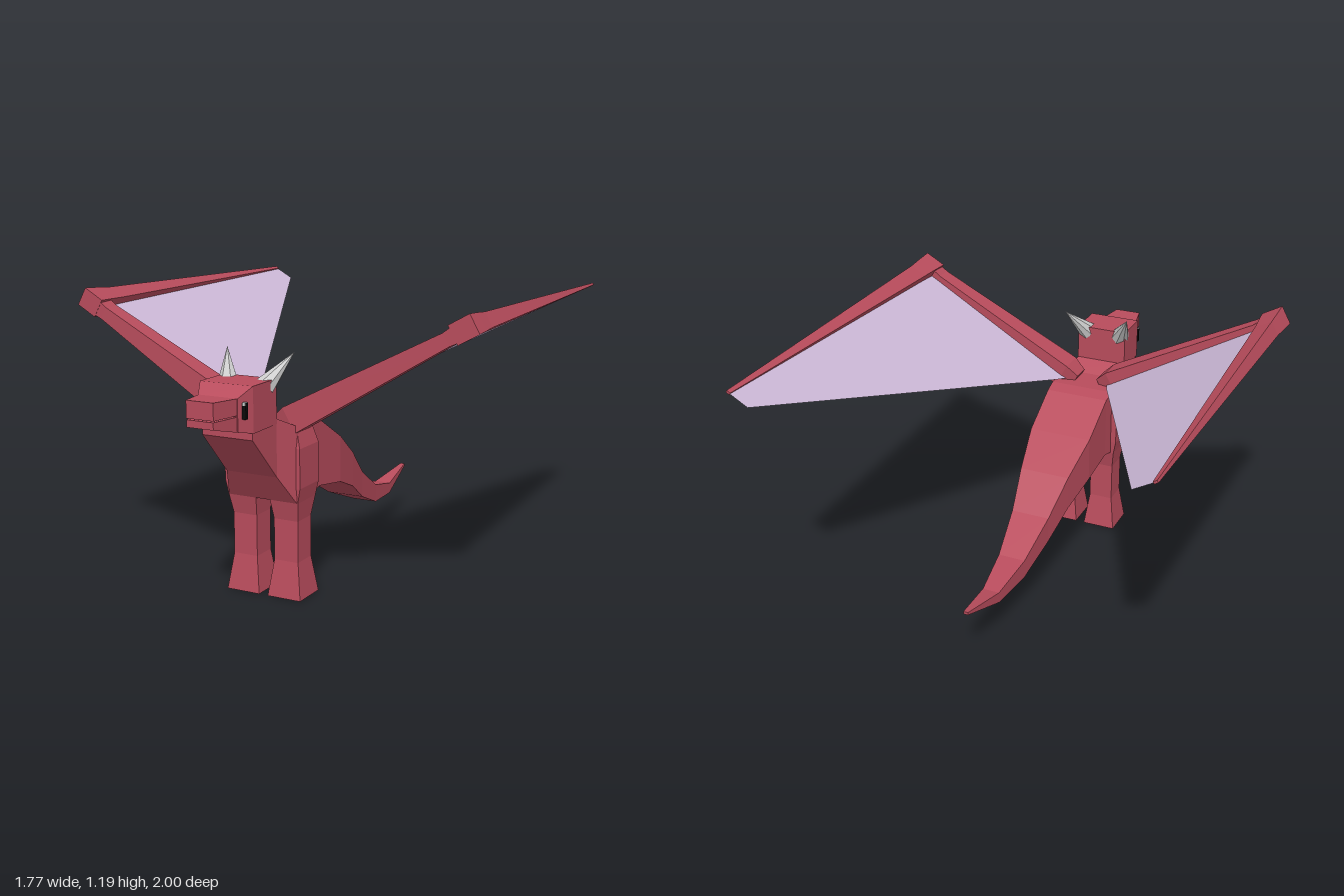
import * as THREE from 'three';

const mat = (color, extra = {}) => new THREE.MeshStandardMaterial({ color, ...extra });

// Loft of rectangular sections [t, a0, a1, b0, b1]; t runs along the axis,
// a and b along the next two axes in cyclic order.
function loft(axis, sections) {
  const order = { x: [0, 1, 2], y: [1, 2, 0], z: [2, 0, 1] }[axis];
  const rings = sections.map(([t, a0, a1, b0, b1]) =>
    [[a0, b0], [a1, b0], [a1, b1], [a0, b1]].map(([a, b]) => {
      const p = [0, 0, 0];
      [t, a, b].forEach((v, i) => { p[order[i]] = v; });
      return p;
    }));
  const pos = [];
  const quad = (a, b, c, d) => pos.push(...a, ...b, ...c, ...a, ...c, ...d);
  for (let k = 0; k < rings.length - 1; k++) {
    for (let i = 0; i < 4; i++) {
      const j = (i + 1) % 4;
      quad(rings[k][i], rings[k][j], rings[k + 1][j], rings[k + 1][i]);
    }
  }
  const first = rings[0], last = rings[rings.length - 1];
  quad(first[3], first[2], first[1], first[0]);
  quad(last[0], last[1], last[2], last[3]);
  return finish(pos);
}

function finish(pos) {
  const geo = new THREE.BufferGeometry();
  geo.setAttribute('position', new THREE.Float32BufferAttribute(pos, 3));
  geo.computeVertexNormals();
  return geo;
}

// Copy a part to the other side of x = 0, keeping its faces outward.
function mirrored(geo) {
  const p = (geo.index ? geo.toNonIndexed() : geo).attributes.position;
  const pos = [];
  for (let i = 0; i < p.count; i += 3) {
    for (const k of [i, i + 2, i + 1]) pos.push(-p.getX(k), p.getY(k), p.getZ(k));
  }
  return finish(pos);
}

// Sections along z that are symmetric in x: [z, halfWidth, bottom, top]
const symmetric = rows => loft('z', rows.map(([z, w, y0, y1]) => [z, -w, w, y0, y1]));

export function createModel() {
  const model = new THREE.Group();
  const red = mat(0xb84c5c, { flatShading: true });
  const bone = mat(0xcccccc, { flatShading: true });
  const skin = mat(0xcdb9d8, { flatShading: true, side: THREE.DoubleSide });
  const black = mat(0x0a0a0a), white = mat(0xffffff);

  const add = (name, geo, material) => {
    const mesh = new THREE.Mesh(geo, material);
    mesh.name = name;
    model.add(mesh);
  };
  const addPair = (name, geo, material) => {
    add(name + 'Left', geo, material);
    add(name + 'Right', mirrored(geo), material);
  };

  // Tail, body and neck in one tapering loft
  add('body', symmetric([
    [-0.765, 0.01, 0.224, 0.236],
    [-0.54, 0.037, 0.15, 0.197],
    [-0.34, 0.06, 0.16, 0.24],
    [-0.15, 0.085, 0.235, 0.348],
    [0, 0.112, 0.325, 0.475],
    [0.17, 0.14, 0.39, 0.585],
    [0.36, 0.142, 0.42, 0.695],
    [0.42, 0.145, 0.405, 0.71],
    [0.57, 0.155, 0.40, 0.71],
    [0.65, 0.113, 0.52, 0.75],
    [0.82, 0.11, 0.70, 0.735],
  ]), red);

  // Head and two jaws with a thin gap for the mouth
  add('head', symmetric([
    [0.65, 0.115, 0.73, 0.905],
    [0.82, 0.115, 0.727, 0.905],
    [0.88, 0.085, 0.742, 0.866],
  ]), red);
  add('upperJaw', symmetric([[0.87, 0.085, 0.803, 0.866], [1, 0.058, 0.803, 0.87]]), red);
  add('lowerJaw', symmetric([[0.87, 0.084, 0.738, 0.798], [1, 0.057, 0.77, 0.798]]), red);

  // Eyes on the slanted cheeks
  addPair('eye', new THREE.BoxGeometry(0.018, 0.062, 0.016).translate(0.1, 0.818, 0.855), black);
  addPair('eyeGlint', new THREE.BoxGeometry(0.012, 0.012, 0.012).translate(0.102, 0.845, 0.859), white);

  // Horns swept back and out
  const base = new THREE.Vector3(0.08, 0.875, 0.68), tip = new THREE.Vector3(0.15, 0.998, 0.572);
  const along = tip.clone().sub(base);
  const horn = new THREE.ConeGeometry(0.042, along.length(), 8)
    .translate(0, along.length() / 2, 0)
    .applyQuaternion(new THREE.Quaternion().setFromUnitVectors(
      new THREE.Vector3(0, 1, 0), along.clone().normalize()))
    .translate(base.x, base.y, base.z);
  addPair('horn', horn, bone);

  // Legs: [y, back z, front z, inner x, outer x]
  addPair('leg', loft('y', [
    [0, 0.42, 0.573, 0.02, 0.168],
    [0.15, 0.443, 0.55, 0.04, 0.147],
    [0.32, 0.443, 0.55, 0.04, 0.147],
    [0.40, 0.425, 0.568, 0.032, 0.158],
    [0.46, 0.42, 0.573, 0.03, 0.17],
    [0.62, 0.42, 0.573, 0.03, 0.17],
    [0.69, 0.435, 0.558, 0.04, 0.15],
  ]), red);

  // Wings are built flat, then tilted up from the shoulder
  const tilt = geo => geo.rotateZ(Math.atan(0.565)).translate(0, 0.66, 0);
  addPair('wingArm', tilt(loft('x', [
    [0.075, -0.04, 0.04, 0.478, 0.56],
    [0.14, -0.056, 0.056, 0.462, 0.574],
    [0.87, -0.03, 0.025, 0.482, 0.556],
    [0.93, -0.036, 0.034, 0.482, 0.556],
  ])), red);
  addPair('wingFinger', tilt(loft('z', [
    [-1, 0.95, 0.967, -0.005, 0.005],
    [0.4, 0.908, 0.987, -0.032, 0.032],
    [0.48, 0.904, 0.992, -0.037, 0.037],
    [0.557, 0.9, 0.995, -0.041, 0.041],
  ])), red);

  // Membrane outline in the wing plane: [along the arm, z]
  const outline = [[0.1, 0.5], [0.93, 0.5], [0.958, -1], [0.865, -1], [0.14, 0.41]];
  const sheet = new THREE.ShapeGeometry(new THREE.Shape(
    outline.map(([u, z]) => new THREE.Vector2(u, -z))));
  addPair('wingMembrane', tilt(sheet.rotateX(-Math.PI / 2)), skin);

  return model;
}
